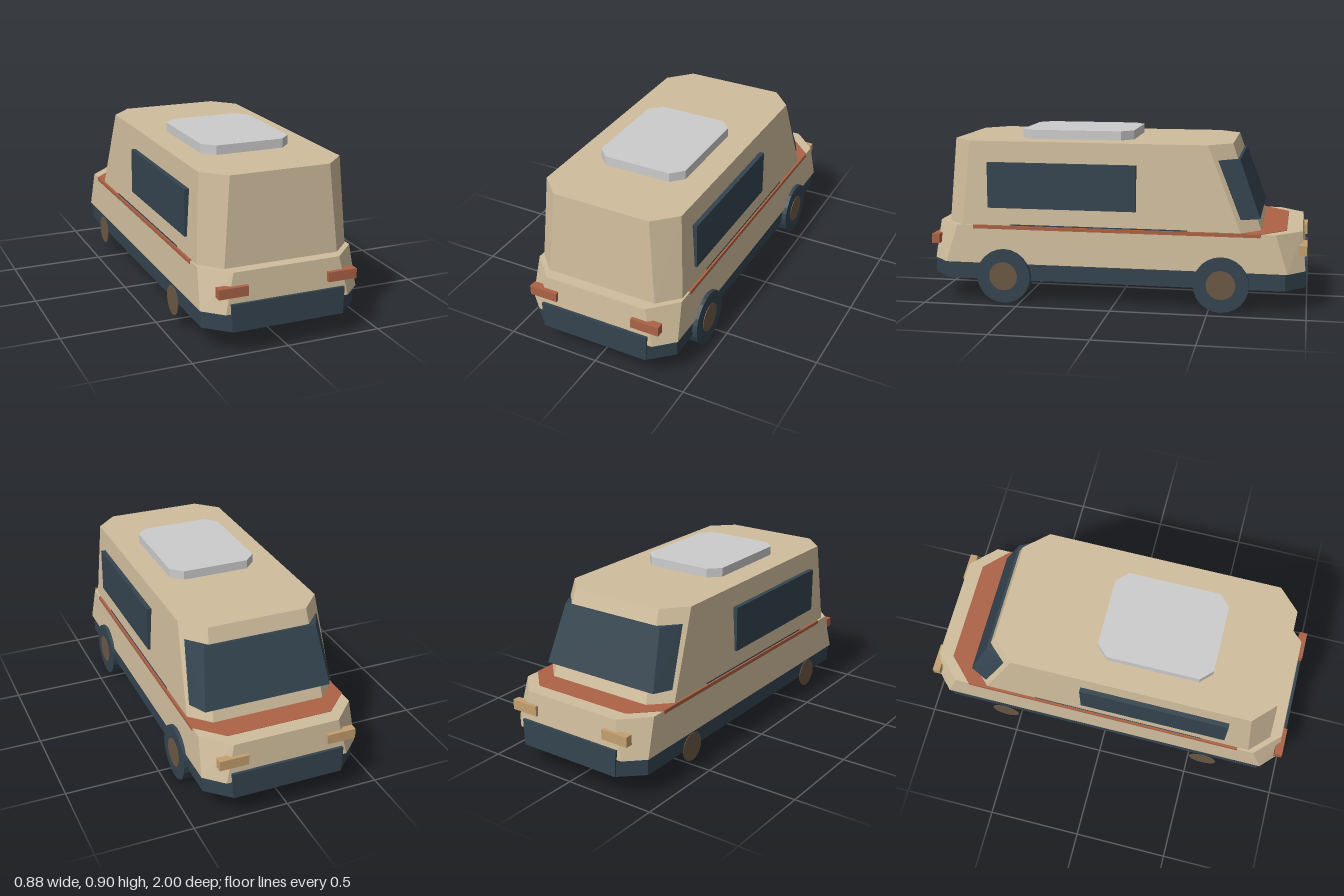
import * as THREE from 'three';
import { ConvexGeometry } from 'three/addons/geometries/ConvexGeometry.js';

function material(name, color) {
  const m = new THREE.MeshStandardMaterial({ color, flatShading: true });
  m.name = name;
  return m;
}

export function createModel() {
  const van = new THREE.Group();
  van.name = 'camperVan';
  const beige = material('beige paint', 0xd0bd9c);
  const navy = material('dark slate', 0x34444f);
  const rust = material('rust red', 0xac6246);
  const brown = material('hub brown', 0x6b5743);
  const grey = material('light grey', 0xcccccc);
  const amber = material('lamp tan', 0xc4a06f);

  const add = (name, geometry, mat) => {
    const mesh = new THREE.Mesh(geometry, mat);
    mesh.name = name;
    van.add(mesh);
    return mesh;
  };

  // Convex solid between two levels; each outline lists [x, z] for one half and is mirrored in x
  const solid = (name, mat, y0, outline0, y1, outline1) => {
    const points = [];
    for (const [y, outline] of [[y0, outline0], [y1, outline1]])
      for (const [x, z] of outline)
        for (const s of [-1, 1]) points.push(new THREE.Vector3(s * x, y, z));
    return add(name, new ConvexGeometry(points), mat);
  };

  // Box given by its limits
  const box = (name, mat, x0, x1, y0, y1, z0, z1) => {
    const mesh = add(name, new THREE.BoxGeometry(x1 - x0, y1 - y0, z1 - z0), mat);
    mesh.position.set((x0 + x1) / 2, (y0 + y1) / 2, (z0 + z1) / 2);
    return mesh;
  };

  // Half outline with cut corners, the same at both ends
  const octagon = (x, z, xCut, zCut) => [[xCut, z], [x, zCut], [x, -zCut], [xCut, -z]];

  // Chassis, lower body and cabin
  const base = octagon(0.41, 0.995, 0.295, 0.89);
  solid('chassis', navy, 0.12, base, 0.21, base);
  solid('lowerBody', beige,
    0.21, octagon(0.42, 0.99, 0.325, 0.9),
    0.41, octagon(0.41, 0.97, 0.28, 0.838));
  solid('cabin', beige,
    0.41, [[0.3, 0.91], [0.4, 0.81], [0.4, -0.66], [0.3, -0.76]],
    0.855, [[0.262, 0.88], [0.375, 0.77], [0.375, -0.485], [0.265, -0.605]]);

  // Hood panel that runs back as a waist stripe
  const stripe = [[0.4125, 0.75], [0.4125, -0.76], [0.28, -0.89]];
  solid('hoodStripe', rust, 0.393, stripe, 0.412, stripe);

  // Wraparound windscreen
  solid('windscreen', navy,
    0.478, [[0.34, -0.755], [0.387, -0.66], [0.25, -0.62]],
    0.777, [[0.302, -0.645], [0.361, -0.537], [0.22, -0.5]]);

  // Roof hatch
  const hatch = [[0.18, 0.53], [0.24, 0.47], [0.24, -0.015], [0.18, -0.075]];
  solid('roofHatch', grey, 0.85, hatch, 0.903, hatch);

  // Raised bumper panels at both ends
  for (const s of [-1, 1])
    solid(s > 0 ? 'rearBumper' : 'frontBumper', navy,
      0.12, [[0.295, s], [0.295, s * 0.95]],
      0.26, [[0.3, s], [0.3, s * 0.95]]);

  for (const s of [-1, 1]) {
    const side = s > 0 ? 'left' : 'right';
    const pair = (a, b) => (s > 0 ? [a, b] : [-b, -a]);
    // Side window and thin trim line
    box(side + 'Window', navy, ...pair(0.375, 0.406), 0.505, 0.745, -0.12, 0.67);
    box(side + 'Trim', navy, ...pair(0.394, 0.402), 0.412, 0.418, -0.385, 0.55);
    // Lamps
    box(side + 'TailLamp', rust, ...pair(0.212, 0.365), 0.295, 0.345, 0.955, 0.998);
    box(side + 'HeadLamp', amber, ...pair(0.212, 0.365), 0.297, 0.35, -0.995, -0.955);
    // Wheels: hub discs on both sides, tyres on the left
    for (const [end, z] of [['Rear', 0.583], ['Front', -0.565]]) {
      const hub = add(side + end + 'Hub', new THREE.CylinderGeometry(0.076, 0.076, 0.003, 24), brown);
      hub.rotation.z = Math.PI / 2;
      hub.position.set(s * 0.439, 0.145, z);
      if (s < 0) continue;
      const tyre = add(side + end + 'Tyre', new THREE.CylinderGeometry(0.144, 0.144, 0.072, 24), navy);
      tyre.rotation.z = Math.PI / 2;
      tyre.position.set(0.4, 0.144, z);
    }
  }
  return van;
}
